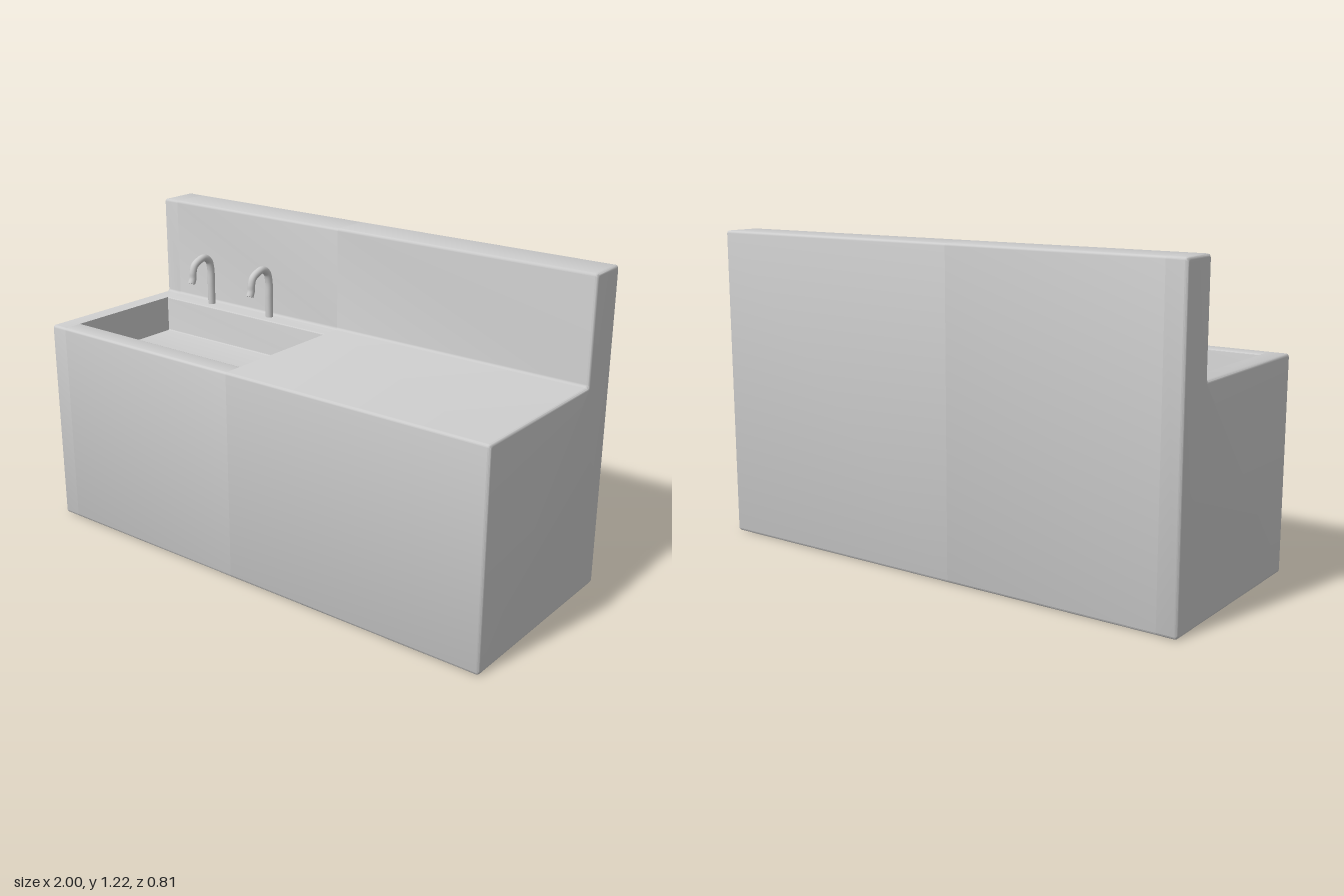
import * as THREE from 'three';
import { toCreasedNormals } from 'three/addons/utils/BufferGeometryUtils.js';

const R = 0.01; // edge rounding
const STEPS = 3;
const material = new THREE.MeshStandardMaterial({ color: 0xcccccc });

// Side outline as [-z, y, radius], anticlockwise; the basin corners are optional
const basin = [[0.165, 0.815, 0.004], [0.165, 0.67, 0.004], [-0.325, 0.67, 0.004], [-0.325, 0.815, 0.004]];
const outline = (cut) => [
  [-0.405, 0, R], [0.405, 0, R], [0.405, 1.215, R], [0.245, 1.215, R], [0.245, 0.815, R],
  ...(cut ? basin : []), [-0.405, 0.815, R],
];

// Outline with rounded corners, moved inwards by inset
function roundedOutline(corners, inset = 0) {
  const points = [];
  corners.forEach(([u, v, r], i) => {
    const p = new THREE.Vector2(u, v);
    const before = corners.at(i - 1);
    const after = corners[(i + 1) % corners.length];
    const t1 = new THREE.Vector2(u - before[0], v - before[1]).normalize();
    const t2 = new THREE.Vector2(after[0] - u, after[1] - v).normalize();
    p.x -= inset * (t1.y + t2.y);
    p.y += inset * (t1.x + t2.x);
    const centre = p.clone().addScaledVector(t1, -r).addScaledVector(t2, r);
    for (let k = 0; k <= STEPS; k++) {
      const a = (k / STEPS) * Math.PI / 2;
      points.push(centre.clone().addScaledVector(t1, r * Math.sin(a)).addScaledVector(t2, -r * Math.cos(a)));
    }
  });
  return points;
}

// Solid running along x through sections of { x, points }, capped at both ends
function loft(sections) {
  const n = sections[0].points.length;
  const positions = [];
  const index = [];
  for (const { x, points } of sections) points.forEach((p) => positions.push(x, p.y, -p.x));
  for (let s = 0; s < sections.length - 1; s++) {
    for (let i = 0; i < n; i++) {
      const a = s * n + i, b = s * n + (i + 1) % n;
      index.push(a, b, b + n, a, b + n, a + n);
    }
  }
  const last = (sections.length - 1) * n;
  for (const [a, b, c] of THREE.ShapeUtils.triangulateShape(sections[0].points, [])) index.push(a, c, b);
  for (const [a, b, c] of THREE.ShapeUtils.triangulateShape(sections.at(-1).points, [])) {
    index.push(last + a, last + b, last + c);
  }
  const geometry = new THREE.BufferGeometry();
  geometry.setAttribute('position', new THREE.Float32BufferAttribute(positions, 3));
  geometry.setIndex(index);
  return toCreasedNormals(geometry, 0.7);
}

// Sections of the rounded outer end on the given side (-1 or 1), outermost first
function roundedEnd(side) {
  const sections = [];
  for (let k = 0; k <= STEPS; k++) {
    const a = (k / STEPS) * Math.PI / 2;
    sections.push({
      x: side * (1 - R * (1 - Math.cos(a))),
      points: roundedOutline(outline(false), R * (1 - Math.sin(a))),
    });
  }
  // order the offsets so the widest section lies furthest from the end
  const xs = sections.map((_, k) => side * (1 - R * (1 - Math.cos((k / STEPS) * Math.PI / 2))));
  sections.forEach((section, k) => { section.x = xs[k]; });
  return sections;
}

function part(name, geometry) {
  const mesh = new THREE.Mesh(geometry, material);
  mesh.name = name;
  return mesh;
}

// Gooseneck tap with a closed spout
function makeTap(x) {
  const path = new THREE.CatmullRomCurve3([
    [0.8, -0.214], [0.9, -0.214], [0.965, -0.213], [1.0, -0.202], [1.017, -0.176],
    [1.012, -0.147], [0.995, -0.117], [0.97, -0.107], [0.945, -0.105], [0.924, -0.096],
  ].map(([y, z]) => new THREE.Vector3(0, y, z)));
  const tap = new THREE.Group();
  tap.name = 'tap';
  tap.add(part('tapPipe', new THREE.TubeGeometry(path, 48, 0.015, 16)));
  const end = part('spoutEnd', new THREE.CircleGeometry(0.015, 16));
  end.position.copy(path.getPoint(1));
  end.quaternion.setFromUnitVectors(new THREE.Vector3(0, 0, 1), path.getTangent(1));
  tap.add(end);
  tap.position.x = x;
  return tap;
}

export function createModel() {
  const model = new THREE.Group();
  model.name = 'washTrough';

  const full = roundedOutline(outline(false));
  const cut = roundedOutline(outline(true));
  const basinStart = -0.925, basinEnd = -0.08;

  // Counter body with backsplash: solid ends either side of the basin
  model.add(part('counterRightEnd', loft([...roundedEnd(-1), { x: basinStart, points: full }])));
  model.add(part('basinSection', loft([{ x: basinStart, points: cut }, { x: basinEnd, points: cut }])));
  model.add(part('counterLeftEnd', loft([{ x: basinEnd, points: full }, ...roundedEnd(1).reverse()])));

  // Pair of taps behind the basin
  for (const x of [-0.715, -0.4]) model.add(makeTap(x));
  return model;
}
